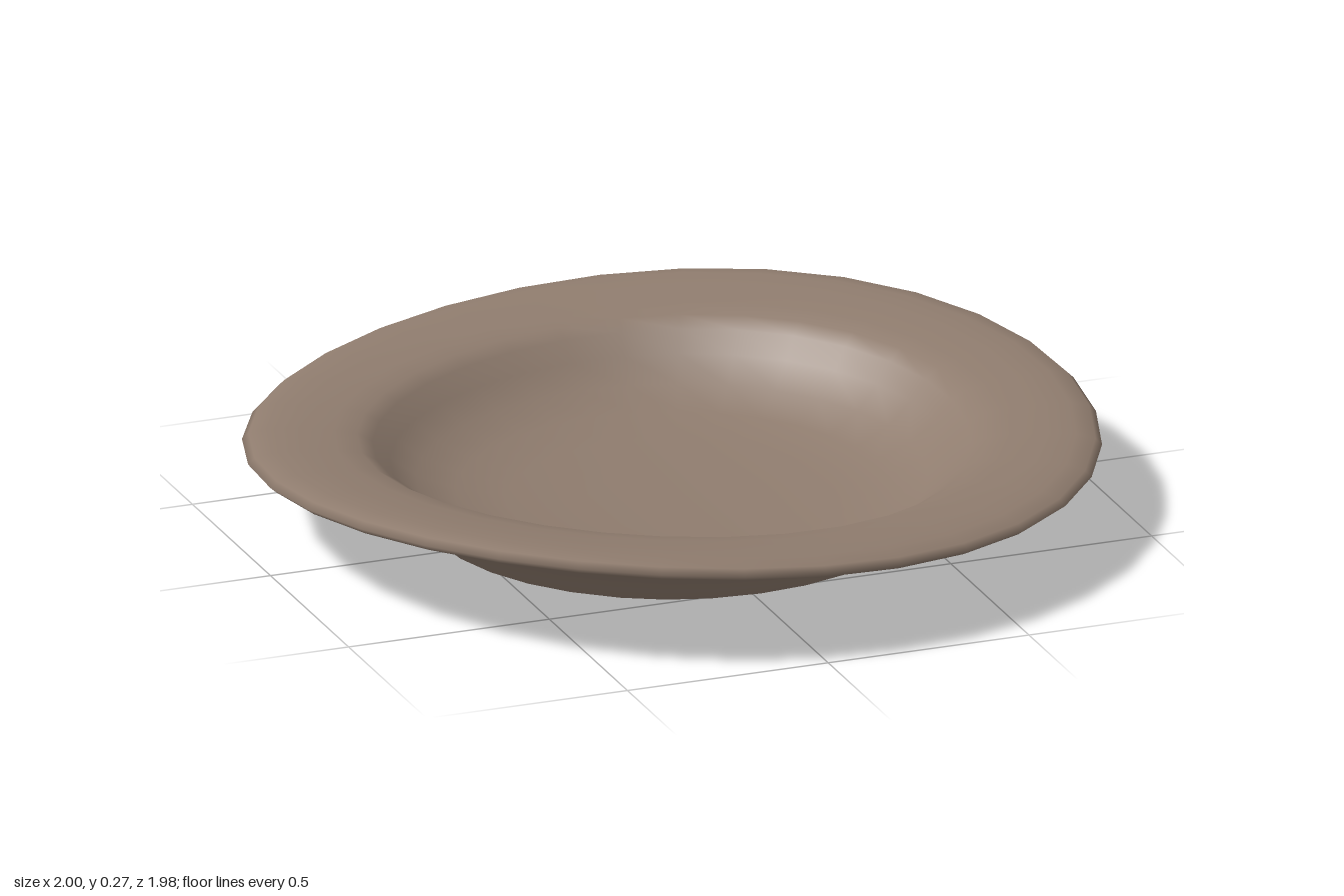
import * as THREE from 'three';
import { mergeVertices } from 'three/addons/utils/BufferGeometryUtils.js';

export function createModel() {
  const group = new THREE.Group();
  group.name = 'shallowDish';
  const clay = new THREE.MeshStandardMaterial({ color: 0x8f7c6e });
  clay.name = 'brown clay';

  // Closed profile: base centre, outer wall, rolled rim, well, floor centre
  const profile = [
    [0, 0.006], [0.3, 0.006], [0.5, 0.008], [0.54, 0.014], [0.575, 0.028],
    [0.61, 0.06], [0.66, 0.1], [0.74, 0.143], [0.83, 0.175], [0.92, 0.197],
    [0.975, 0.21], [0.99, 0.223], [0.975, 0.238], [0.93, 0.247], [0.86, 0.245],
    [0.78, 0.238], [0.725, 0.229], [0.69, 0.208], [0.65, 0.165], [0.59, 0.117],
    [0.5, 0.083], [0.38, 0.064], [0.2, 0.054], [0, 0.052],
  ].map(([r, y]) => new THREE.Vector2(r, y));

  let dish = new THREE.LatheGeometry(profile, 32);

  // Warp the rim into a gentle saddle, leaving the foot flat
  const pos = dish.attributes.position;
  for (let i = 0; i < pos.count; i++) {
    const x = pos.getX(i), y = pos.getY(i), z = pos.getZ(i);
    const lift = THREE.MathUtils.smoothstep(y, 0.03, 0.24);
    pos.setXYZ(i, x * 1.01, y - 0.066 * x * z * lift, z);
  }

  // Weld the seam so the shading is smooth all round
  dish.deleteAttribute('normal');
  dish.deleteAttribute('uv');
  dish = mergeVertices(dish, 1e-4);
  dish.computeVertexNormals();

  const mesh = new THREE.Mesh(dish, clay);
  mesh.name = 'dish';
  group.add(mesh);
  return group;
}
